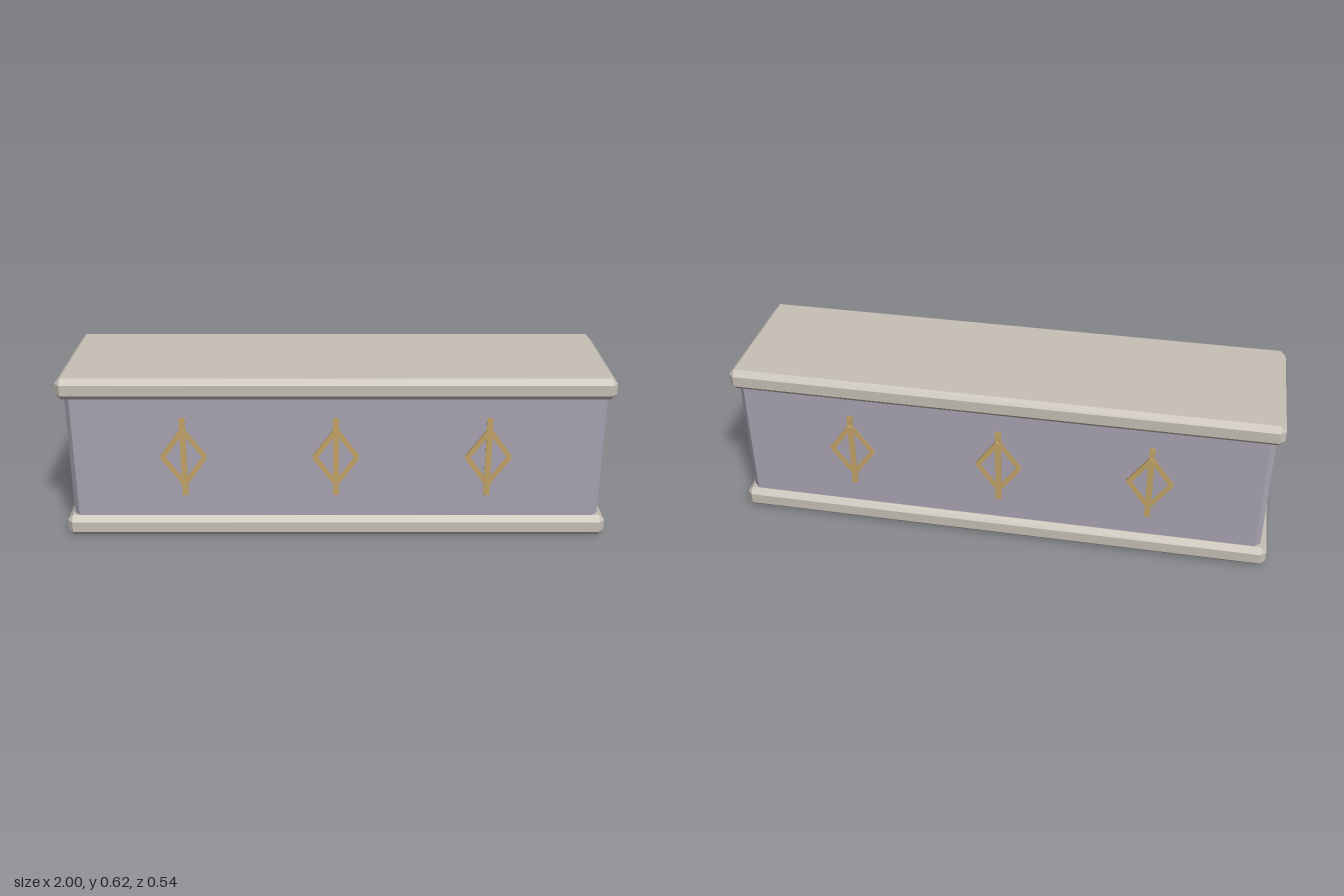
import * as THREE from 'three';
import { ConvexGeometry } from 'three/addons/geometries/ConvexGeometry.js';

const mat = (color) => new THREE.MeshStandardMaterial({ color, flatShading: true });
const stone = mat(0xc6c0b6);
const slate = mat(0xa8a3b2);
const gold = mat(0xc4a468);

// Box with every edge chamfered by c, given half sizes.
function chamferedBox(hx, hy, hz, c) {
  const points = [];
  for (const x of [-1, 1]) for (const y of [-1, 1]) for (const z of [-1, 1]) {
    points.push(
      new THREE.Vector3(x * hx, y * (hy - c), z * (hz - c)),
      new THREE.Vector3(x * (hx - c), y * hy, z * (hz - c)),
      new THREE.Vector3(x * (hx - c), y * (hy - c), z * hz));
  }
  return new ConvexGeometry(points);
}

// Box with only its vertical corners chamfered.
function chamferedColumn(hx, hz, c, y0, y1) {
  const points = [];
  for (const x of [-1, 1]) for (const z of [-1, 1]) for (const y of [y0, y1]) {
    points.push(
      new THREE.Vector3(x * hx, y, z * (hz - c)),
      new THREE.Vector3(x * (hx - c), y, z * hz));
  }
  return new ConvexGeometry(points);
}

function add(parent, name, geometry, material) {
  const mesh = new THREE.Mesh(geometry, material);
  mesh.name = name;
  parent.add(mesh);
  return mesh;
}

// Gold diamond frame with a vertical rod, proud of the wall plane z = 0.
function makeOrnament() {
  const ornament = new THREE.Group();
  ornament.name = 'diamondOrnament';
  const sunk = 0.01;
  const bar = (name, x0, y0, x1, y1, width, height) => {
    const length = Math.hypot(x1 - x0, y1 - y0);
    const mesh = add(ornament, name, new THREE.BoxGeometry(width, length, height + sunk), gold);
    mesh.position.set((x0 + x1) / 2, (y0 + y1) / 2, (height - sunk) / 2);
    mesh.rotation.z = -Math.atan2(x1 - x0, y1 - y0);
  };
  bar('rod', 0, -0.153, 0, 0.153, 0.022, 0.004);
  for (const x of [-1, 1]) for (const y of [-1, 1]) {
    const raised = x < 0 && y > 0;
    bar('diamondBar', x * 0.078, 0, 0, y * 0.108, 0.018, raised ? 0.011 : 0.003);
  }
  return ornament;
}

export function createModel() {
  const model = new THREE.Group();
  model.name = 'stoneChest';

  // Body
  add(model, 'body', chamferedColumn(0.975, 0.245, 0.02, 0.06, 0.56), slate);

  // Base and lid slabs
  const slab = chamferedBox(1, 0.04, 0.268, 0.02);
  add(model, 'base', slab, stone).position.y = 0.04;
  add(model, 'lid', slab, stone).position.y = 0.583;

  // Three ornaments on the front, three on the back
  for (const side of [1, -1]) for (const x of [-0.555, 0, 0.555]) {
    const ornament = makeOrnament();
    ornament.position.set(x, 0.317, side * 0.245);
    if (side < 0) ornament.rotation.y = Math.PI;
    model.add(ornament);
  }
  return model;
}
